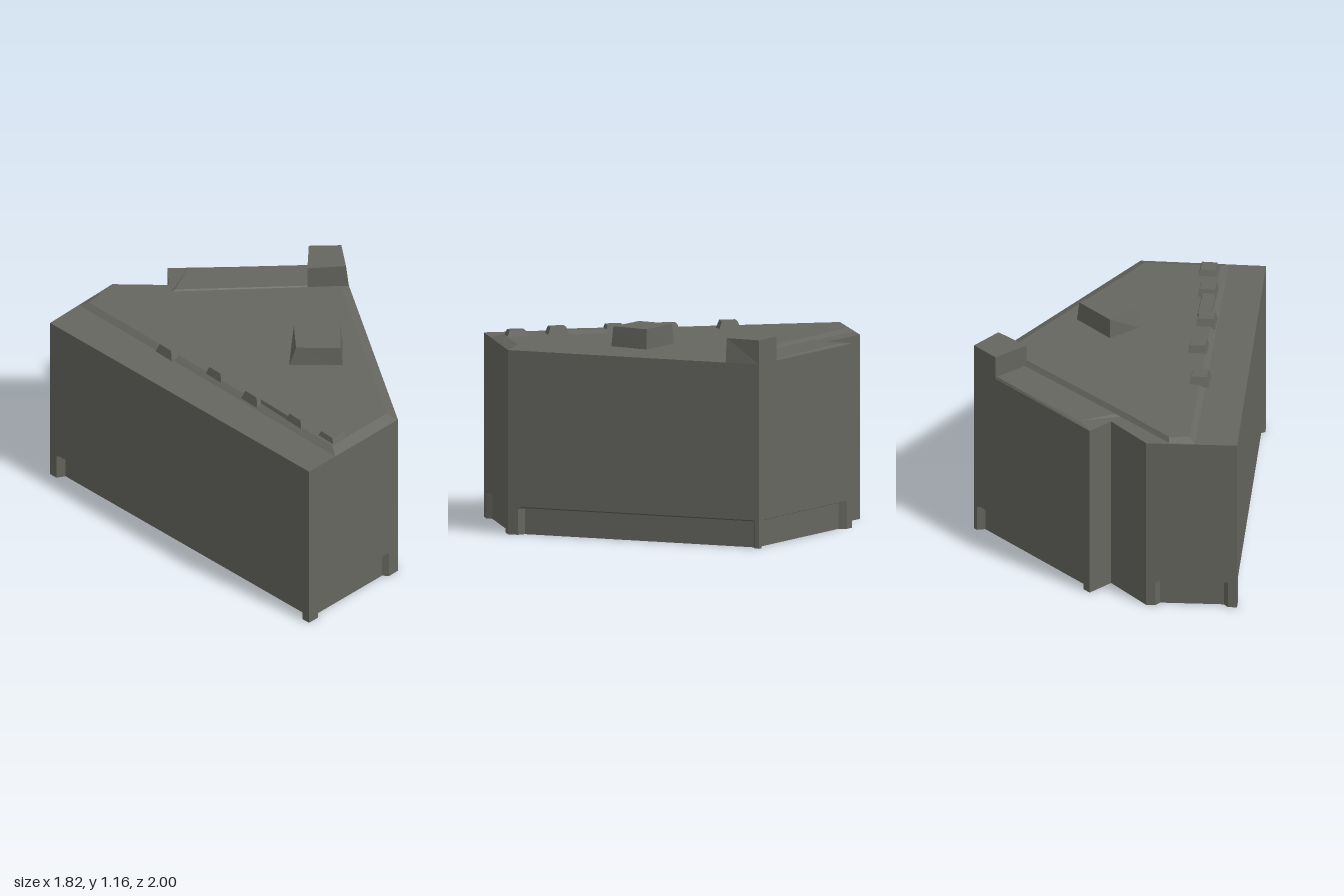
import * as THREE from 'three';

// Ground plan corners as [x, z]
const plan = [[-0.91, -0.55], [0.37, 1], [0.91, 0.56], [0.75, -0.93],
  [-0.21, -1], [-0.22, -0.84], [-0.53, -0.88]];

// Shop front recess on each wall: [start margin, end margin, depth] or null
const recesses = [[0.05, 0.05, 0.045], [0.07, 0.07, 0.03], [0.06, 0.025, 0.04],
  [0.025, 0.05, 0.04], null, null, [0.05, 0.05, 0.03]];

const toShape = (points) => new THREE.Shape(points.map(([x, z]) => new THREE.Vector2(x, -z)));

// Solid between a lower outline at y0 and an upper outline at y1
function solid(bottom, y0, y1, top = bottom) {
  const geo = new THREE.ExtrudeGeometry(toShape(bottom), { depth: y1 - y0, bevelEnabled: false });
  geo.rotateX(-Math.PI / 2).translate(0, y0, 0);
  const p = geo.attributes.position;
  for (let i = 0; i < p.count; i++) {
    if (p.getY(i) < (y0 + y1) / 2) continue;
    const k = bottom.findIndex(([x, z]) => Math.hypot(x - p.getX(i), z - p.getZ(i)) < 1e-4);
    p.setXYZ(i, top[k][0], y1, top[k][1]);
  }
  geo.computeVertexNormals();
  return geo;
}

// Open flat-shaded skin through [outline, y] loops of equal length
function skin(loops) {
  const pos = [];
  const tri = (...v) => {
    if (new THREE.Triangle(...v).getArea() > 1e-7) v.forEach((q) => pos.push(q.x, q.y, q.z));
  };
  for (let r = 0; r < loops.length - 1; r++) {
    const n = loops[r][0].length;
    for (let i = 0; i < n; i++) {
      const at = (row, k) => new THREE.Vector3(loops[row][0][k % n][0], loops[row][1], loops[row][0][k % n][1]);
      tri(at(r, i), at(r, i + 1), at(r + 1, i + 1));
      tri(at(r, i), at(r + 1, i + 1), at(r + 1, i));
    }
  }
  const geo = new THREE.BufferGeometry();
  geo.setAttribute('position', new THREE.Float32BufferAttribute(pos, 3));
  geo.computeVertexNormals();
  return geo;
}

// Plan outline with the recesses pushed in by a share of their depth
function recessedPlan(share) {
  const splay = 0.025;
  const out = [];
  plan.forEach((a, i) => {
    const b = plan[(i + 1) % plan.length];
    out.push(a);
    if (!recesses[i]) return;
    const [m0, m1, depth] = recesses[i];
    const len = Math.hypot(b[0] - a[0], b[1] - a[1]);
    const ux = (b[0] - a[0]) / len, uz = (b[1] - a[1]) / len;
    const at = (s, d) => [a[0] + ux * s + uz * d, a[1] + uz * s - ux * d];
    out.push(at(m0, 0), at(m0 + splay, depth * share), at(len - m1 - splay, depth * share), at(len - m1, 0));
  });
  return out;
}

// Rectangle turned to follow the long facade
function turnedRect(cx, cz, along, across) {
  const ux = 0.61, uz = 0.79;
  return [[-1, -1], [1, -1], [1, 1], [-1, 1]].map(([s, t]) => [
    cx + (ux * s * along + uz * t * across) / 2,
    cz + (uz * s * along - ux * t * across) / 2]);
}

export function createModel() {
  const group = new THREE.Group();
  const stone = new THREE.MeshStandardMaterial({ color: 0x666660, side: THREE.DoubleSide });
  stone.name = 'dark grey stone';
  const add = (name, geo) => {
    const mesh = new THREE.Mesh(geo, stone);
    mesh.name = name;
    group.add(mesh);
  };

  // Hollow walls, open underneath, with recessed shop fronts and a sloping soffit
  const inner = recessedPlan(1), outer = recessedPlan(0);
  add('walls', skin([[inner, 0], [inner, 0.145], [outer, 0.157], [outer, 1.03]]));
  add('roofDeck', new THREE.ShapeGeometry(toShape(plan)).rotateX(-Math.PI / 2).translate(0, 1.03, 0));

  // Raised roof with sloped edges
  add('roof', solid(
    [[-0.73, -0.7], [0.53, 0.87], [0.908, 0.56], [0.772, -0.72], [-0.15, -0.76], [-0.62, -0.79]], 1.03, 1.054,
    [[-0.68, -0.69], [0.52, 0.8], [0.85, 0.53], [0.72, -0.7], [-0.15, -0.74], [-0.6, -0.77]]));
  add('backWingRoof', solid(
    [[-0.21, -0.995], [0.57, -0.94], [0.55, -0.73], [-0.22, -0.765]], 1.03, 1.04,
    [[-0.1, -0.97], [0.57, -0.935], [0.55, -0.74], [-0.19, -0.78]]));

  // Corner tower and rooftop block
  add('cornerTower', solid([[0.57, -0.943], [0.75, -0.93], [0.771, -0.73], [0.54, -0.73]], 1.03, 1.165,
    [[0.57, -0.943], [0.75, -0.93], [0.755, -0.73], [0.54, -0.73]]));
  add('roofBlock', solid([[0.4, -0.21], [0.68, -0.185], [0.655, 0.05], [0.36, 0.015]], 1.04, 1.165,
    [[0.41, -0.2], [0.665, -0.18], [0.645, 0.04], [0.4, 0.01]]));

  // Row of dormers along the long facade
  const dormers = [[-0.275, -0.19, 1.095], [-0.025, 0.055, 1.095], [0.15, 0.3, 1.095],
    [0.37, 0.54, 1.095], [0.53, 0.71, 1.085]];
  for (const [x, z, h] of dormers) {
    add('dormer', solid(turnedRect(x, z, 0.13, 0.11), 1.04, h, turnedRect(x, z, 0.09, 0.085)));
  }
  add('dormerLink', solid(turnedRect(0.265, 0.42, 0.24, 0.09), 1.04, 1.075, turnedRect(0.265, 0.42, 0.24, 0.07)));
  return group;
}
